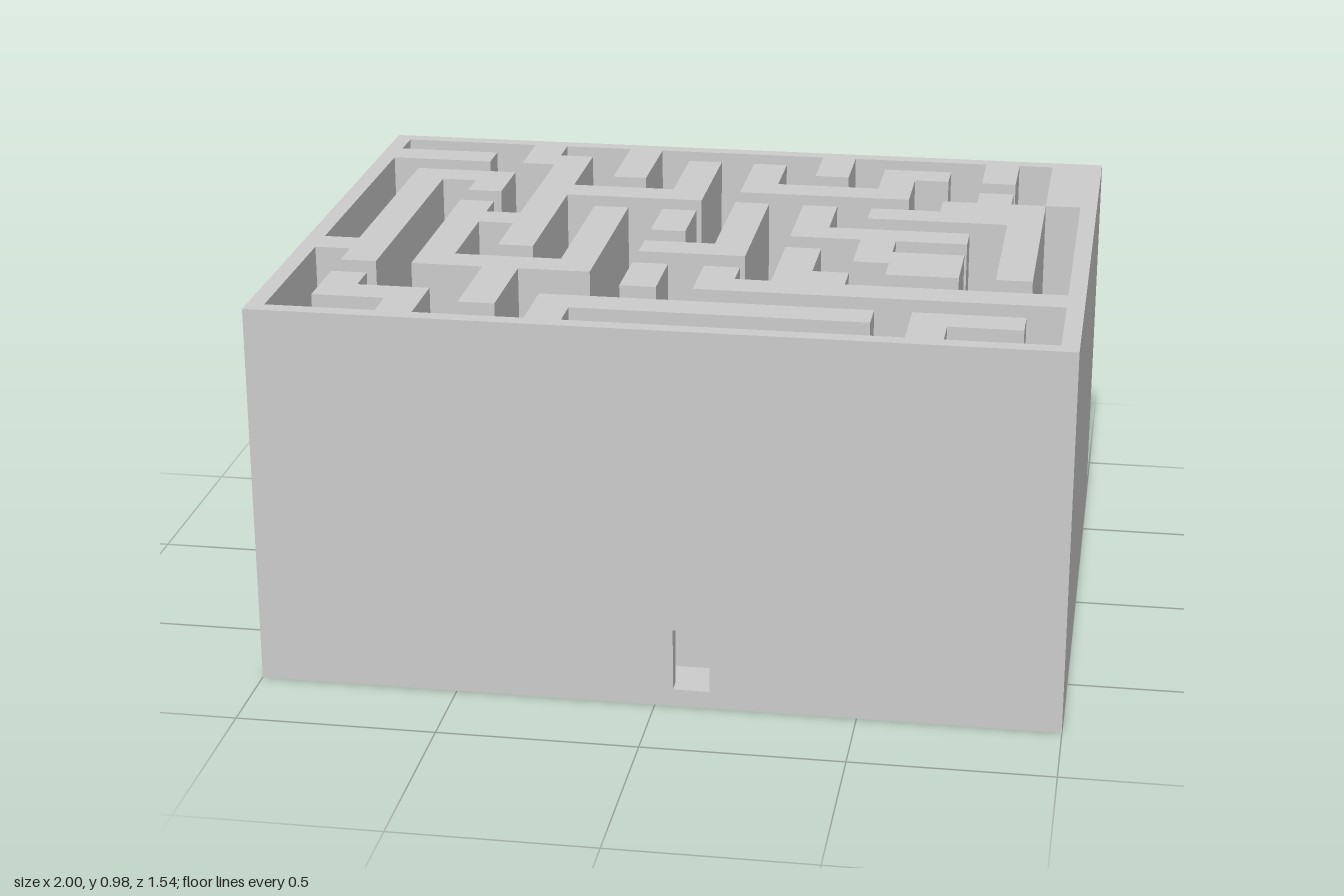
import * as THREE from 'three';

// Grid of passages: 21 x 16 squares inside a thin border
const PITCH = 0.0911, HALF_X = 1, HALF_Z = 0.77;
const FLOOR = 0.045, LINTEL = 0.205, TOP = 0.98;
const gx = i => (i - 10.5) * PITCH;
const gz = j => (j - 8) * PITCH;

const material = new THREE.MeshStandardMaterial({ color: 0xcccccc, flatShading: true });

// Right-angled path: start square corner, first axis, then alternating x / z stops
function trail(x, z, axis, stops) {
  const points = [[x, z]];
  for (const stop of stops) {
    if (axis === 'x') x = stop; else z = stop;
    axis = axis === 'x' ? 'z' : 'x';
    points.push([x, z]);
  }
  return points.map(([i, j]) => new THREE.Vector2(gx(i), -gz(j)));
}

// Extrude a plan outline upwards between two heights
function prism(name, shape, y0, y1) {
  const geometry = new THREE.ExtrudeGeometry(shape, { depth: y1 - y0, bevelEnabled: false });
  geometry.rotateX(-Math.PI / 2);
  geometry.translate(0, y0, 0);
  const mesh = new THREE.Mesh(geometry, material);
  mesh.name = name;
  return mesh;
}

const corner = (x, z) => new THREE.Vector2(x, -z);

export function createModel() {
  const group = new THREE.Group();
  group.name = 'mazeBlock';

  // Floor slab
  const floor = new THREE.Mesh(new THREE.BoxGeometry(2 * HALF_X, FLOOR, 2 * HALF_Z), material);
  floor.position.y = FLOOR / 2;
  floor.name = 'floor';
  group.add(floor);

  // Inner face of the border with its attached walls, from doorway to doorway,
  // and the outer face that closes each stretch
  const stretches = [
    {
      name: 'rightBorderWalls', // back doorway to front doorway
      inner: trail(20, 0, 'z', [4, 21, 12, 15, 11, 14, 9, 13, 12, 12, 11, 11, 13, 21,
        16, 18, 15, 20, 14, 17, 16, 12]),
      outer: [corner(gx(12), HALF_Z), corner(HALF_X, HALF_Z), corner(HALF_X, -HALF_Z),
        corner(gx(20), -HALF_Z)],
    },
    {
      name: 'frontBorderWalls', // front doorway to side doorway
      inner: trail(11, 16, 'x', [8, 15, 16, 14, 7, 16, 4, 14, 2, 13, 1, 15, 3, 16, 0, 11,
        1, 12, 2, 4, 3, 5, 4, 3, 1, 10, 0, 8]),
      outer: [corner(-HALF_X, gz(8)), corner(-HALF_X, HALF_Z), corner(gx(11), HALF_Z)],
    },
    {
      name: 'backBorderWalls', // side doorway to back doorway
      inner: trail(0, 7, 'z', [2, 3, 1, 0, 0, 4, 2, 5, 7, 4, 6, 3, 12, 5, 15, 6, 12, 8, 6,
        7, 11, 4, 8, 5, 10, 6, 5, 10, 1, 9, 4, 6, 1, 5, 0, 7, 3, 8, 0, 13, 2, 14, 0,
        18, 2, 19, 0]),
      outer: [corner(gx(19), -HALF_Z), corner(-HALF_X, -HALF_Z), corner(-HALF_X, gz(7))],
    },
  ];

  // Lower walls, with the three doorways left open between the stretches
  for (const { name, inner, outer } of stretches)
    group.add(prism(name, new THREE.Shape([...inner, ...outer]), FLOOR, LINTEL));

  // Upper walls run unbroken above the doorways
  const upper = new THREE.Shape([corner(-HALF_X, HALF_Z), corner(HALF_X, HALF_Z),
    corner(HALF_X, -HALF_Z), corner(-HALF_X, -HALF_Z)]);
  upper.holes.push(new THREE.Path(stretches.flatMap(s => s.inner)));
  group.add(prism('upperBorderWalls', upper, LINTEL, TOP));

  // Free-standing walls
  const islands = [
    trail(9, 6, 'x', [10, 8, 9]),
    trail(9, 11, 'x', [10, 13, 9]),
    trail(11, 1, 'x', [12, 3, 15, 1, 17, 2, 16, 4, 11]),
    trail(11, 5, 'x', [12, 10, 9, 9, 11]),
    trail(13, 5, 'x', [14, 7, 18, 8, 16, 9, 18, 11, 16, 10, 15, 8, 13]),
    trail(18, 3, 'x', [19, 4, 20, 11, 19, 6, 15, 5, 17, 4, 18]),
  ];
  for (const outline of islands)
    group.add(prism('freeStandingWall', new THREE.Shape(outline), FLOOR, TOP));

  return group;
}
